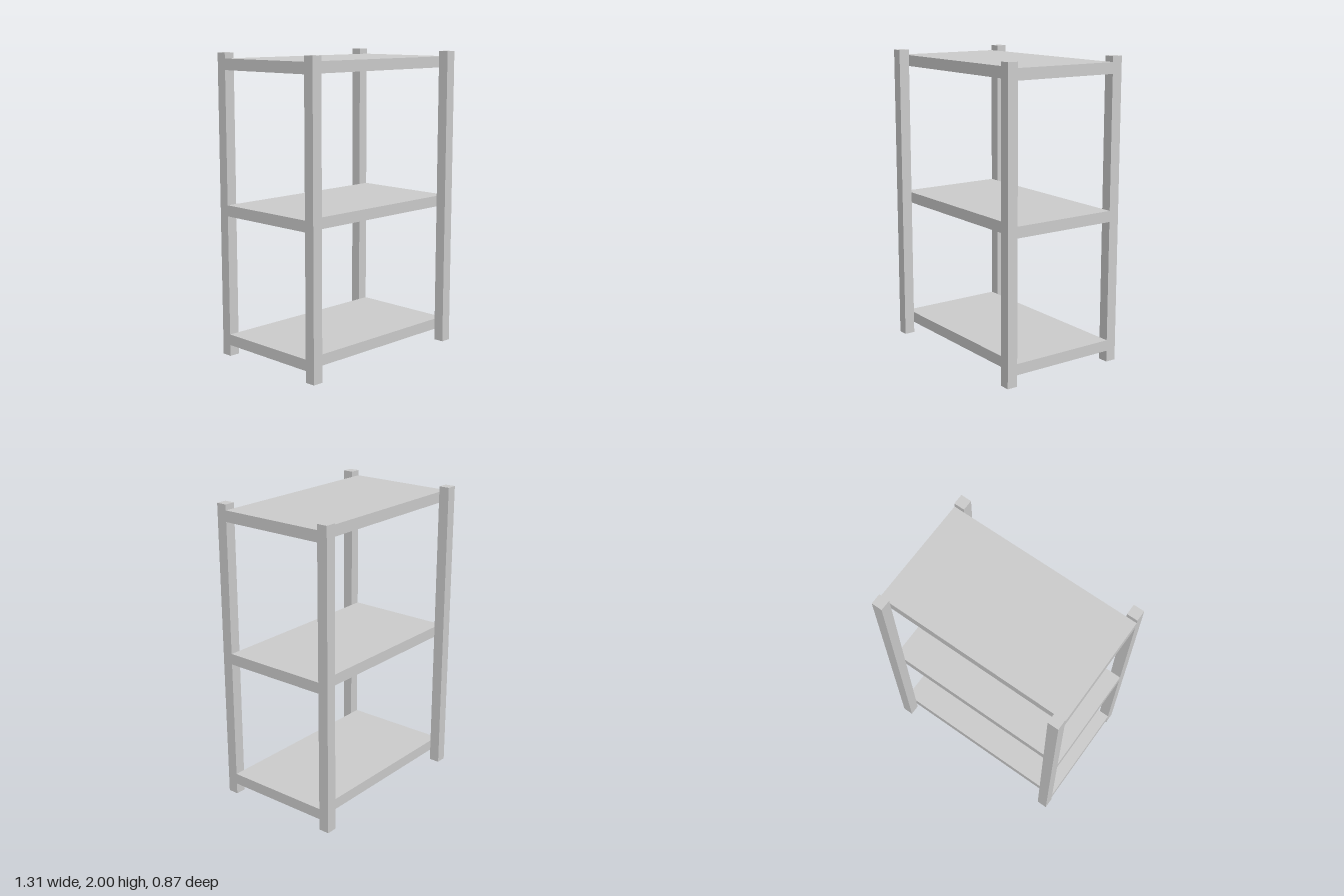
import * as THREE from 'three';

const material = new THREE.MeshStandardMaterial({ color: 0xcccccc, flatShading: true });

function addBox(parent, name, [w, h, d], [x, y, z]) {
  const mesh = new THREE.Mesh(new THREE.BoxGeometry(w, h, d), material);
  mesh.name = name;
  mesh.position.set(x, y, z);
  parent.add(mesh);
}

export function createModel() {
  const group = new THREE.Group();
  group.name = 'shelvingUnit';

  const halfWidth = 0.655, halfDepth = 0.437, post = 0.072, height = 2;

  // Four square corner posts
  for (const [side, sx] of [['Left', 1], ['Right', -1]]) {
    for (const [end, sz] of [['front', 1], ['back', -1]]) {
      addBox(group, `${end}${side}Post`, [post, height, post],
        [sx * (halfWidth - post / 2), height / 2, sz * (halfDepth - post / 2)]);
    }
  }

  // Solid shelves fitted between the front and back posts, flush with their outer sides
  const shelves = { bottomShelf: 0.112, middleShelf: 0.983, topShelf: 1.927 };
  for (const [name, y] of Object.entries(shelves)) {
    addBox(group, name, [2 * halfWidth, 0.073, 2 * (halfDepth - post)], [0, y, 0]);
  }

  return group;
}
